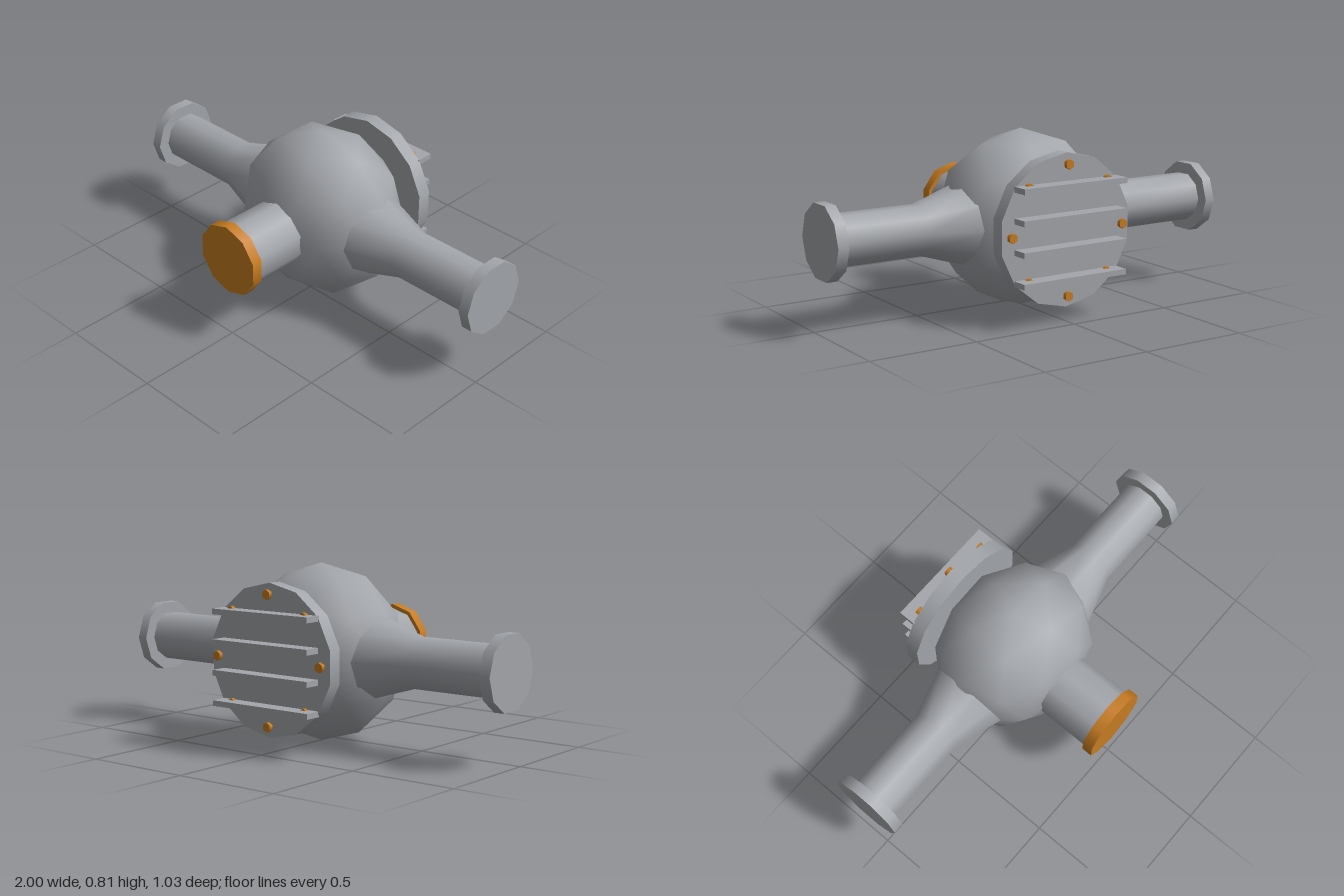
import * as THREE from 'three';

export function createModel() {
  const grey = new THREE.MeshStandardMaterial({ color: 0xa3a6ab });
  grey.name = 'castGrey';
  const orange = new THREE.MeshStandardMaterial({ color: 0xc87d22 });
  orange.name = 'fastenerOrange';

  const model = new THREE.Group();
  model.name = 'axleHousing';
  const CY = 0.408, CZ = -0.08;

  function add(parent, name, geometry, material, x = 0, y = 0, z = 0) {
    const mesh = new THREE.Mesh(geometry, material);
    mesh.name = name;
    mesh.position.set(x, y, z);
    parent.add(mesh);
    return mesh;
  }

  // Cylinder along z between z0 and z1, with a corner pointing up
  function discZ(parent, name, material, r, sides, z0, z1, x = 0, y = CY) {
    const g = new THREE.CylinderGeometry(r, r, z1 - z0, sides).rotateX(Math.PI / 2);
    return add(parent, name, g, material, x, y, (z0 + z1) / 2);
  }

  // Central housing: squashed icosphere with a corner at the top
  const ball = new THREE.IcosahedronGeometry(0.405, 1)
    .rotateX(-Math.atan((1 + Math.sqrt(5)) / 2))
    .rotateY(Math.PI / 2)
    .scale(1, 1, 0.82);
  add(model, 'centreHousing', ball, grey, 0, CY, CZ);

  // Axle arms: flared tube and end flange, one per side
  const tubeProfile = [[0.2, 0.27], [0.115, 0.54], [0.115, 0.96]]
    .map(([r, h]) => new THREE.Vector2(r, h));
  const tubeGeo = new THREE.LatheGeometry(tubeProfile, 10).rotateZ(-Math.PI / 2);
  const flangeGeo = new THREE.CylinderGeometry(0.17, 0.17, 0.05, 10).rotateZ(-Math.PI / 2);
  for (const side of ['left', 'right']) {
    const arm = new THREE.Group();
    arm.name = side + 'AxleArm';
    arm.position.set(0, CY, CZ);
    if (side === 'right') arm.rotation.y = Math.PI;
    add(arm, side + 'AxleTube', tubeGeo, grey);
    add(arm, side + 'EndFlange', flangeGeo, grey, 0.975, 0, 0);
    model.add(arm);
  }

  // Input neck and its cap at the front
  discZ(model, 'inputNeck', grey, 0.152, 10, 0.05, 0.47);
  discZ(model, 'inputCap', orange, 0.17, 10, 0.463, 0.513);

  // Rear cover with cooling ribs
  discZ(model, 'rearCover', grey, 0.34, 14, -0.437, -0.37);
  const ribGeo = new THREE.BoxGeometry(0.537, 0.025, 0.082);
  for (let i = 0; i < 4; i++) {
    add(model, 'coverRib', ribGeo, grey, 0, CY + (i - 1.5) * 0.136, -0.472);
  }

  // Ring of cover bolts
  for (let i = 0; i < 8; i++) {
    const a = i * Math.PI / 4;
    discZ(model, 'coverBolt', orange, 0.022, 6, -0.463, -0.444,
      0.29 * Math.cos(a), CY + 0.29 * Math.sin(a));
  }

  return model;
}
